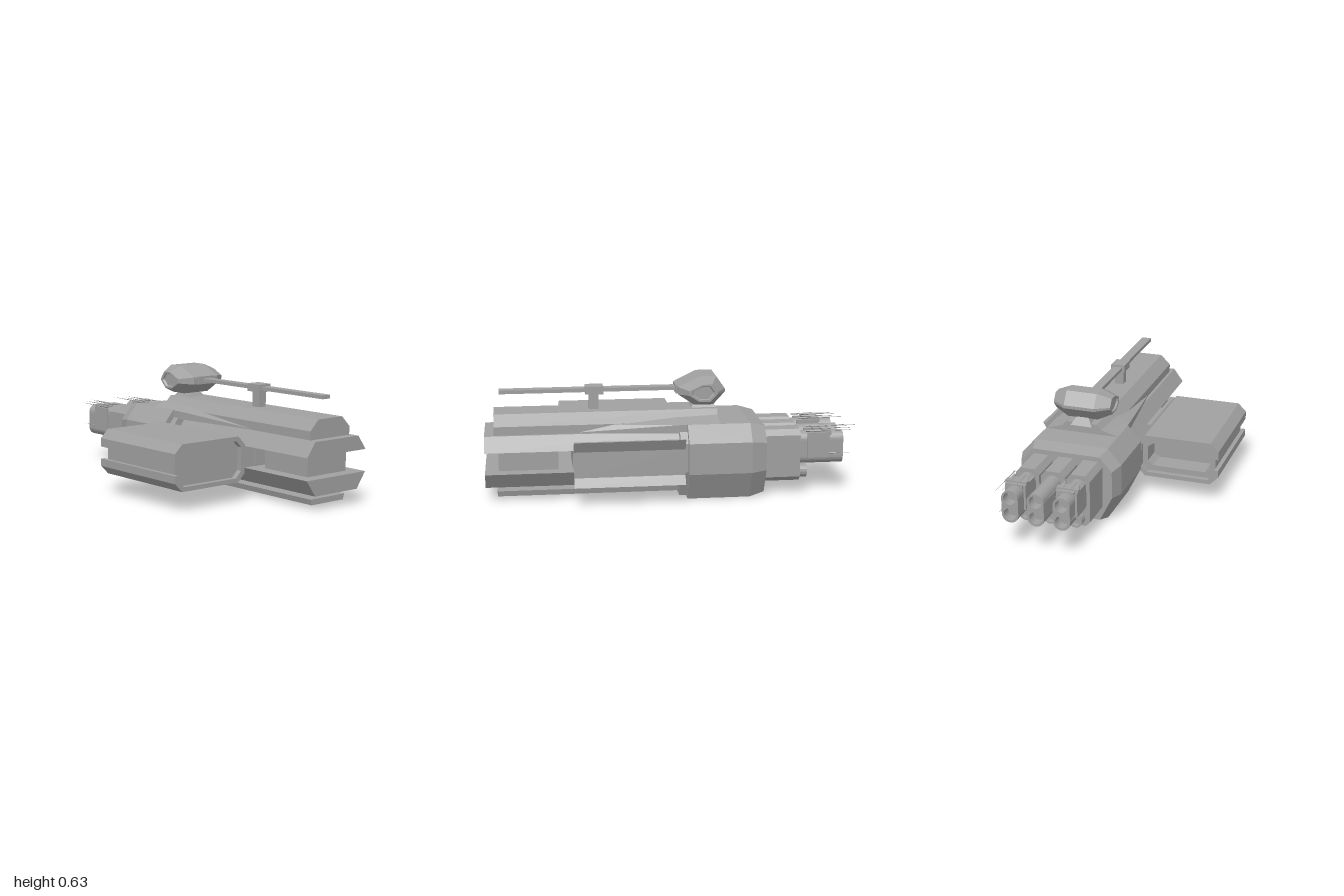
import * as THREE from 'three';

const CX = 0.205; // centre line of the hull

export function createModel() {
  const root = new THREE.Group();
  const grey = new THREE.MeshStandardMaterial({ color: 0xa0a0a0 });
  grey.name = 'hullGrey';
  grey.flatShading = true;
  grey.side = THREE.DoubleSide;

  const add = (name, geo, parent = root) => {
    const m = new THREE.Mesh(geo, grey);
    m.name = name;
    parent.add(m);
    return m;
  };
  const box = (name, x0, x1, y0, y1, z0, z1, parent) =>
    add(name, new THREE.BoxGeometry(x1 - x0, y1 - y0, z1 - z0)
      .translate((x0 + x1) / 2, (y0 + y1) / 2, (z0 + z1) / 2), parent);
  const shapeOf = (pts) => new THREE.Shape(pts.map((p) => new THREE.Vector2(p[0], p[1])));
  // prism along z from an outline in x, y
  const prism = (name, shape, z0, z1, parent) =>
    add(name, new THREE.ExtrudeGeometry(Array.isArray(shape) ? shapeOf(shape) : shape,
      { depth: z1 - z0, bevelEnabled: false, curveSegments: 8 }).translate(0, 0, z0), parent);
  // complete a half outline (offset from the centre line, bottom to top)
  const mirror = (half) => [
    ...half.map(([d, y]) => [CX + d, y]),
    ...half.slice().reverse().map(([d, y]) => [CX - d, y]),
  ];
  // skin between convex counter-clockwise outlines [z, points], with end caps
  const loft = (sections) => {
    const pos = [], idx = [], n = sections[0][1].length;
    sections.forEach(([z, pts]) => pts.forEach(([x, y]) => pos.push(x, y, z)));
    for (let s = 0; s < sections.length - 1; s++) {
      for (let i = 0; i < n; i++) {
        const a = s * n + i, b = s * n + (i + 1) % n;
        idx.push(a, b, b + n, a, b + n, a + n);
      }
    }
    const e = (sections.length - 1) * n;
    for (let i = 1; i < n - 1; i++) idx.push(0, i + 1, i, e, e + i, e + i + 1);
    const g = new THREE.BufferGeometry();
    g.setAttribute('position', new THREE.Float32BufferAttribute(pos, 3));
    g.setIndex(idx);
    const flat = g.toNonIndexed();
    flat.computeVertexNormals();
    return flat;
  };
  const scaled = (pts, cx, cy, sx, sy) => pts.map(([x, y]) => [cx + (x - cx) * sx, cy + (y - cy) * sy]);

  // --- main rear block with tapered tail and stepped front ---
  const blockOutline = mirror([[0.205, 0], [0.279, 0.15], [0.279, 0.315], [0.205, 0.4]]);
  add('rearBlock', loft([
    [-0.46, scaled(blockOutline, CX, 0.2, 0.91, 0.9)],
    [-0.38, blockOutline],
    [-0.05, blockOutline],
  ]));
  prism('blockFrontStep', scaled(blockOutline, CX, 0.2, 0.87, 0.94), -0.05, -0.01);

  // --- forward hull: two plates, recessed core, keel strip ---
  prism('upperHullPlate', mirror([[0.21, 0.28], [0.155, 0.355]]), -0.05, 1);
  prism('lowerHullPlate', mirror([[0.15, 0.08], [0.21, 0.165]]), -0.05, 1);
  box('frontCore', 0.07, 0.345, 0.165, 0.28, 0.62, 0.93);
  box('rearCore', 0.07, 0.345, 0.165, 0.28, -0.05, 0.545);
  prism('keelStrip', mirror([[0.113, 0.02], [0.122, 0.05]]), -0.05, 0.94);

  // --- dorsal ridge and the fairing that narrows forward ---
  prism('dorsalRidge', mirror([[0.14, 0.355], [0.14, 0.4], [0.085, 0.455]]), -0.22, 0.95);
  add('dorsalFairing', loft([
    [-0.22, mirror([[0.205, 0.355], [0.205, 0.4], [0.105, 0.43]])],
    [0, mirror([[0.2, 0.355], [0.2, 0.398], [0.105, 0.425]])],
    [0.55, mirror([[0.135, 0.355], [0.135, 0.357], [0.1, 0.395]])],
  ]));

  // --- cross beam and the open docking clamp on the left ---
  box('dockingBeam', -0.07, 0.465, 0.165, 0.28, 0.27, 0.54);
  prism('dockingClamp', [
    [0.457, 0.145], [0.49, 0.105], [0.507, 0.105], [0.475, 0.15],
    [0.475, 0.287], [0.507, 0.345], [0.49, 0.345], [0.457, 0.295],
  ], -0.03, 0.545);

  // --- cargo pod on the right: slotted shell around a recessed body ---
  const pod = new THREE.Group();
  pod.name = 'cargoPod';
  root.add(pod);
  const podInner = [
    [-0.485, 0.163], [-0.45, 0.128], [-0.105, 0.128], [-0.07, 0.163],
    [-0.07, 0.287], [-0.105, 0.322], [-0.45, 0.322], [-0.485, 0.287],
  ];
  prism('podShell', [
    [-0.507, 0.255], [-0.507, 0.3], [-0.462, 0.345], [-0.09, 0.345], [-0.045, 0.3],
    [-0.045, 0.15], [-0.09, 0.105], [-0.462, 0.105], [-0.507, 0.15], [-0.507, 0.19],
    [-0.485, 0.19], ...podInner, [-0.485, 0.255],
  ], -0.03, 0.59, pod);
  prism('podBody', podInner, 0.12, 0.56, pod);
  const podRear = shapeOf(podInner);
  podRear.holes.push(new THREE.Path(
    scaled(podInner, -0.2775, 0.225, 0.86, 0.68).map((p) => new THREE.Vector2(p[0], p[1]))));
  prism('podRearFrame', podRear, 0, 0.12, pod);

  // --- turret: faceted head lofted across x, long barrel, support ---
  const turret = new THREE.Group();
  turret.name = 'turret';
  root.add(turret);
  const headOutline = [ // (-z, y)
    [0.015, 0.575], [0.015, 0.535], [0.1, 0.478], [0.2, 0.478],
    [0.262, 0.545], [0.262, 0.562], [0.215, 0.63], [0.13, 0.63],
  ];
  const ring = (s) => scaled(headOutline, 0.14, 0.556, s, s);
  add('turretHead', loft([
    [0.055, ring(0.42)], [0.045, ring(0.48)], [0.045, ring(0.6)], [0.12, ring(1)],
    [0.29, ring(1)], [0.365, ring(0.6)], [0.365, ring(0.48)], [0.355, ring(0.42)],
  ]).rotateY(Math.PI / 2), turret);
  add('turretNeck', loft([
    [0, [[0.145, 0.08], [0.265, 0.08], [0.265, 0.23], [0.145, 0.23]]],
    [0.05, [[0.175, 0.11], [0.235, 0.11], [0.235, 0.2], [0.175, 0.2]]],
  ]).rotateX(-Math.PI / 2).translate(0, 0.44, 0), turret);
  box('barrelMount', 0.15, 0.26, 0.535, 0.578, -0.06, -0.005, turret);
  box('barrel', 0.178, 0.232, 0.548, 0.567, -0.03, 0.92, turret);
  box('barrelCollar', 0.165, 0.245, 0.537, 0.578, 0.375, 0.47, turret);
  box('barrelPost', 0.18, 0.23, 0.45, 0.54, 0.4, 0.45, turret);

  // --- engines: three chamfered columns with stacked nozzles ---
  // housing outline: rounded slot with two round bores
  const housingShape = () => {
    const r = 0.045, s = new THREE.Shape();
    s.absarc(0, 0.29, r, 0, Math.PI, false);
    s.absarc(0, 0.203, r, Math.PI, Math.PI * 2, false);
    s.closePath();
    return s;
  };
  const tube = (r, inner, length) => {
    const profile = [[inner, 0.03], [inner, length], [r, length], [r, 0], [0, 0], [0, 0.03], [inner, 0.03]];
    return new THREE.LatheGeometry(profile.map((p) => new THREE.Vector2(...p)), 16).rotateX(-Math.PI / 2);
  };
  [-1, 0, 1].forEach((k) => {
    const engine = new THREE.Group();
    engine.name = k === 0 ? 'middleEngine' : k < 0 ? 'rightEngine' : 'leftEngine';
    engine.position.x = CX + k * 0.138;
    root.add(engine);

    prism('engineBlock', [
      [-0.04, 0.075], [0.04, 0.075], [0.064, 0.1], [0.064, 0.325],
      [0.04, 0.355], [-0.04, 0.355], [-0.064, 0.325], [-0.064, 0.1],
    ], -0.65, -0.44, engine);

    prism('nozzleHousingCore', housingShape(), -0.83, -0.64, engine);
    const rim = housingShape();
    [0.29, 0.203].forEach((y) => {
      const hole = new THREE.Path();
      hole.absarc(0, y, 0.034, 0, Math.PI * 2, true);
      rim.holes.push(hole);
    });
    prism('nozzleRim', rim, -0.885, -0.83, engine);

    add('lowerNozzle', tube(0.036, 0.027, 0.06), engine).position.set(0, 0.117, -0.635);

    if (k === 0) return;
    // outer engines carry an armour cap and antenna spikes
    box('armourCap', -0.043, 0.043, 0.315, 0.342, -0.82, -0.73, engine);
    [-1, 1].forEach((s) =>
      box('sideArmour', s * 0.05 - 0.006, s * 0.05 + 0.006, 0.2, 0.335, -0.81, -0.69, engine));
    const spike = (x, y, z0, z1) => add('antennaSpike',
      new THREE.ConeGeometry(0.005, z0 - z1, 4).rotateX(-Math.PI / 2)
        .translate(x, y, (z0 + z1) / 2), engine);
    spike(k * 0.056, 0.345, -0.68, -0.94);
    spike(k * 0.022, 0.35, -0.72, -0.95);
    spike(-k * 0.022, 0.35, -0.72, -0.93);
    spike(-k * 0.05, 0.347, -0.7, -1);
    spike(k * 0.05, 0.22, -0.76, -0.92);
    box('antennaBase', -0.058, 0.058, 0.338, 0.35, -0.8, -0.77, engine);
  });

  return root;
}
